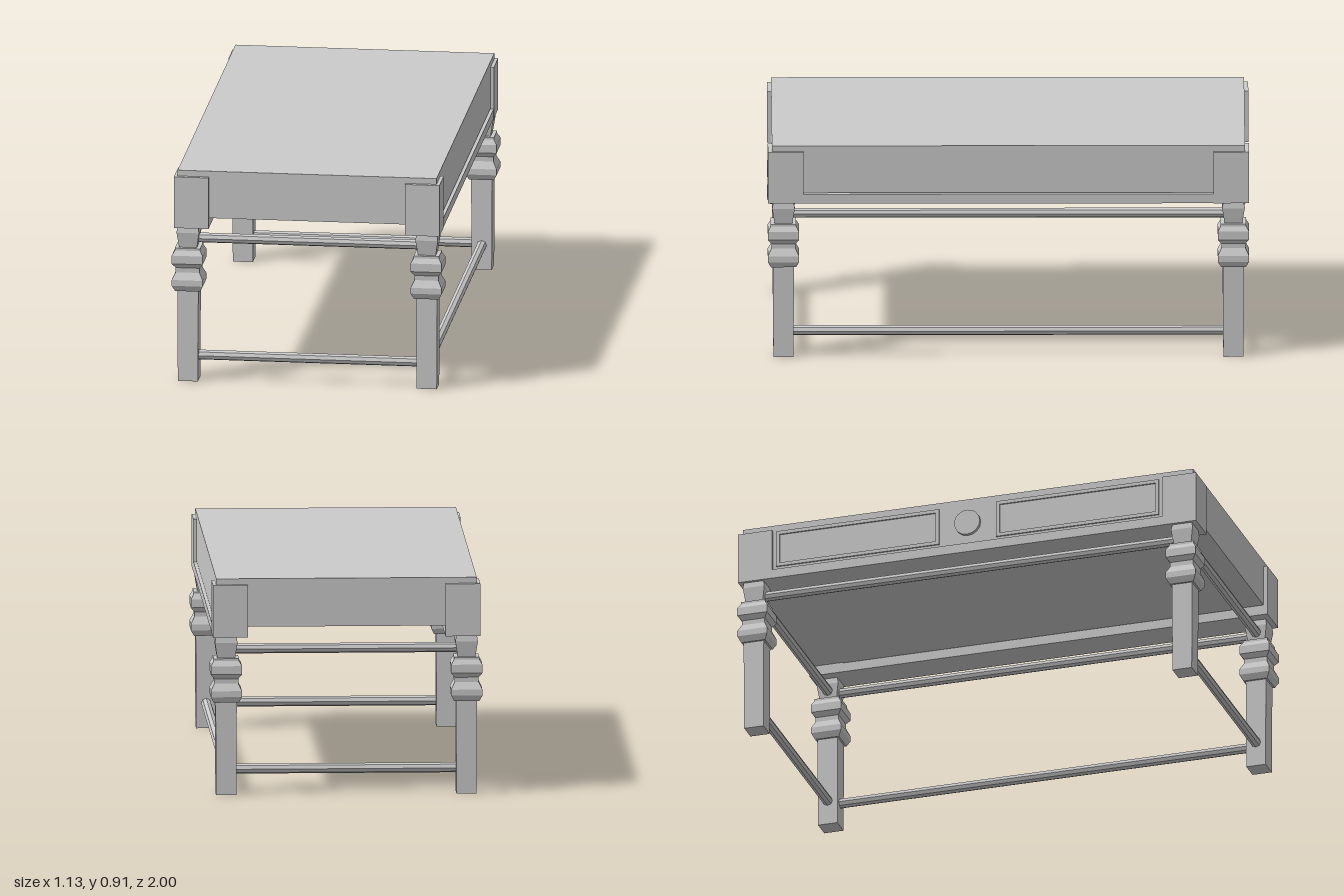
import * as THREE from 'three';

const mat = new THREE.MeshStandardMaterial({ color: 0xcccccc, flatShading: true });

function add(parent, name, geo, x = 0, y = 0, z = 0) {
  const m = new THREE.Mesh(geo, mat);
  m.name = name;
  m.position.set(x, y, z);
  parent.add(m);
  return m;
}

// Box given by its limits
function box(parent, name, x0, x1, y0, y1, z0, z1) {
  return add(parent, name, new THREE.BoxGeometry(x1 - x0, y1 - y0, z1 - z0),
    (x0 + x1) / 2, (y0 + y1) / 2, (z0 + z1) / 2);
}

// Square leg with two chamfered bulges and a flared neck: [half width, y]
function legGeometry() {
  const profile = [
    [0, 0], [0.042, 0], [0.044, 0.39], [0.052, 0.39], [0.065, 0.415], [0.065, 0.44],
    [0.05, 0.47], [0.05, 0.49], [0.065, 0.51], [0.065, 0.545], [0.053, 0.565],
    [0.053, 0.575], [0.037, 0.575], [0.047, 0.64], [0.042, 0.67]
  ].map(([r, y]) => new THREE.Vector2(r * Math.SQRT2, y));
  return new THREE.LatheGeometry(profile, 4).rotateY(Math.PI / 4);
}

// Flat rectangular moulding with an open middle, facing -x
function frameGeometry(w, h, border, depth) {
  const rect = (T, a, b) => {
    const p = new T();
    p.moveTo(-a, -b); p.lineTo(a, -b); p.lineTo(a, b); p.lineTo(-a, b); p.closePath();
    return p;
  };
  const shape = rect(THREE.Shape, w / 2, h / 2);
  shape.holes.push(rect(THREE.Path, w / 2 - border, h / 2 - border));
  return new THREE.ExtrudeGeometry(shape, { depth, bevelEnabled: false }).rotateY(-Math.PI / 2);
}

export function createModel() {
  const g = new THREE.Group();
  g.name = 'table';

  // Deep table top
  box(g, 'tableTop', -0.542, 0.542, 0.708, 0.91, -0.983, 0.983);

  // Legs with corner blocks
  const leg = legGeometry();
  for (const sx of [-1, 1]) for (const sz of [-1, 1]) {
    const corner = new THREE.Group();
    corner.name = (sz > 0 ? 'front' : 'back') + (sx > 0 ? 'Left' : 'Right') + 'Corner';
    corner.position.set(sx * 0.5, 0, sz * 0.935);
    g.add(corner);
    add(corner, 'leg', leg);
    add(corner, 'cornerBlock', new THREE.BoxGeometry(0.145, 0.22, 0.148), -sx * 0.0165, 0.775, -sz * 0.009);
  }

  // Lower side rails between the corner blocks
  for (const s of [-1, 1]) {
    const rail = box(g, 'sideRail', 0.411, 0.555, 0.665, 0.705, -0.855, 0.855);
    rail.position.x *= s;
  }

  // Round stretchers; the drawer side has no low one
  const shortRod = new THREE.CylinderGeometry(0.021, 0.021, 0.94, 8).rotateZ(Math.PI / 2);
  const longRod = new THREE.CylinderGeometry(0.021, 0.021, 1.81, 8).rotateX(Math.PI / 2);
  for (const y of [0.105, 0.61]) {
    for (const s of [-1, 1]) {
      add(g, 'endStretcher', shortRod, 0, y, s * 0.935);
      if (s > 0 || y > 0.5) add(g, 'sideStretcher', longRod, s * 0.5, y, 0);
    }
  }

  // Two framed drawer panels and a round knob on the -x side
  const frame = frameGeometry(0.71, 0.16, 0.015, 0.008);
  for (const s of [-1, 1]) add(g, 'drawerFrame', frame, -0.541, 0.8, s * 0.48);
  add(g, 'drawerKnob', new THREE.CylinderGeometry(0.056, 0.056, 0.016, 16).rotateZ(Math.PI / 2), -0.549, 0.8, 0);

  return g;
}
